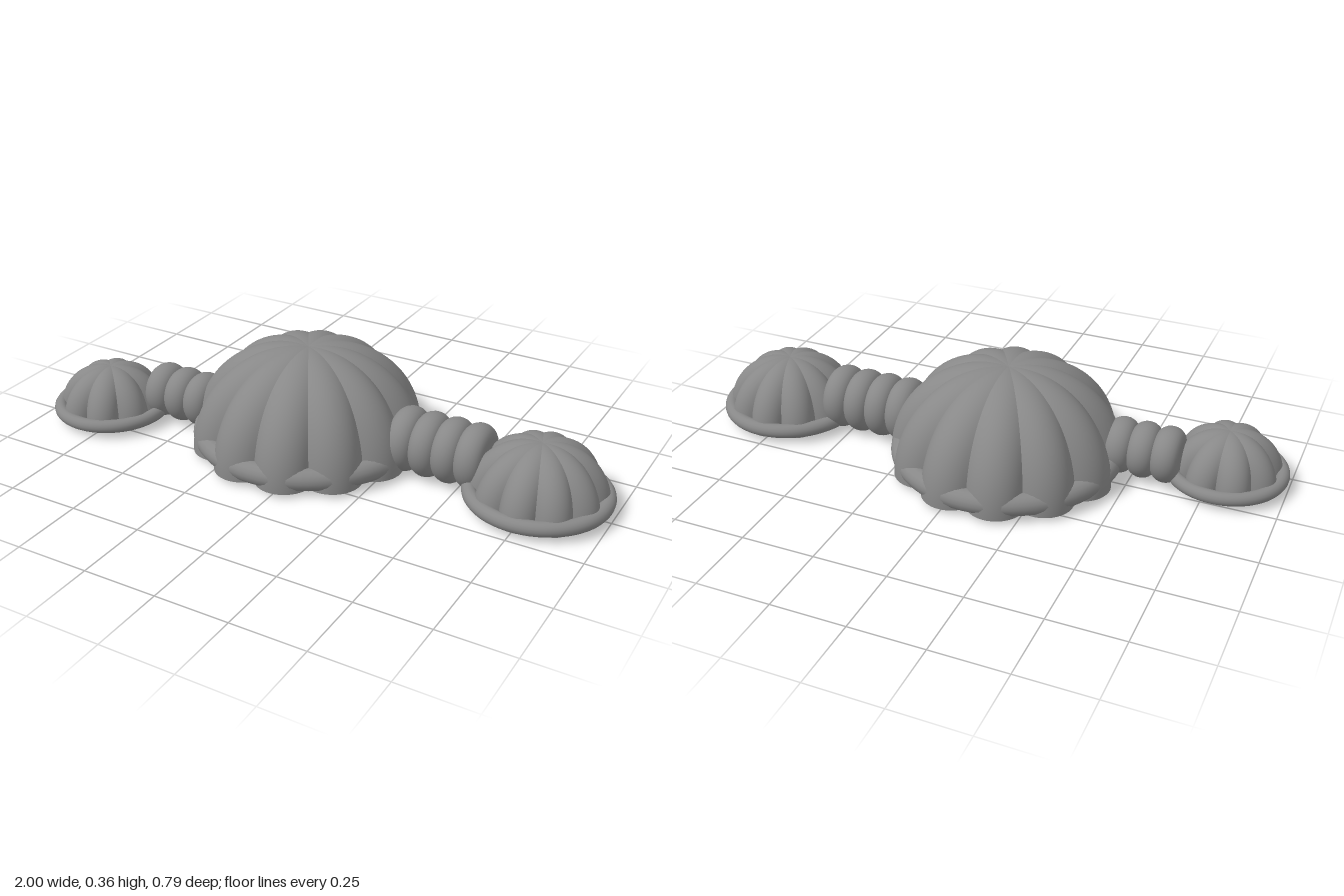
import * as THREE from 'three';

const grey = new THREE.MeshStandardMaterial({ color: 0x888888, side: THREE.DoubleSide });
grey.name = 'grey';

// One bulging rib: a tube section swept up a quarter arc, trimmed where it meets its neighbours
function lobeGeometry({ lobes, inset, path, rise, tube, base }) {
  const tan = Math.tan(Math.PI / lobes), nu = 14, nv = 28;
  const tEnd = Math.acos(-inset / (path + tube));
  const positions = [], index = [];
  for (let j = 0; j <= nv; j++) {
    const t = (tEnd * j) / nv, c = Math.cos(t), s = Math.sin(t);
    const radial = (phi) => inset + (path + tube * Math.cos(phi)) * c;
    let lo = 0, hi = Math.PI / 2;
    for (let k = 0; k < 30; k++) {
      const mid = (lo + hi) / 2;
      if (tube * Math.sin(mid) < radial(mid) * tan) lo = mid; else hi = mid;
    }
    for (let i = 0; i <= nu; i++) {
      const phi = lo * ((2 * i) / nu - 1);
      positions.push(radial(phi), base + (rise + tube * Math.cos(phi)) * s, tube * Math.sin(phi));
      if (i < nu && j < nv) {
        const a = j * (nu + 1) + i, b = a + nu + 1;
        index.push(a, b, a + 1, b, b + 1, a + 1);
      }
    }
  }
  const geometry = new THREE.BufferGeometry();
  geometry.setAttribute('position', new THREE.Float32BufferAttribute(positions, 3));
  geometry.setIndex(index);
  geometry.computeVertexNormals();
  return geometry;
}

// Ribbed hollow dome with a round rim
function dome(name, x, z, spec, rim) {
  const group = new THREE.Group();
  group.name = name;
  group.position.set(x, 0, z);
  const geometry = lobeGeometry(spec);
  for (let i = 0; i < spec.lobes; i++) {
    const lobe = new THREE.Mesh(geometry, grey);
    lobe.name = 'domeRib';
    lobe.rotation.y = ((i + 0.5) * 2 * Math.PI) / spec.lobes;
    group.add(lobe);
  }
  const ring = new THREE.Mesh(new THREE.TorusGeometry(rim.radius, rim.tube, 16, 72), grey);
  ring.name = 'rim';
  ring.rotation.x = Math.PI / 2;
  ring.position.y = rim.y;
  group.add(ring);
  return group;
}

// Row of rounded discs forming a corrugated passage along x
function connector(name, startX, count, y, z, radius) {
  const group = new THREE.Group();
  group.name = name;
  const halfWidth = 0.046, bulge = 0.04, profile = [new THREE.Vector2(0, -halfWidth)];
  for (let i = 0; i <= 14; i++) {
    const a = -Math.PI / 2 + (Math.PI * i) / 14;
    profile.push(new THREE.Vector2(radius - bulge + bulge * Math.cos(a), halfWidth * Math.sin(a)));
  }
  profile.push(new THREE.Vector2(0, halfWidth));
  const geometry = new THREE.LatheGeometry(profile, 40);
  for (let i = 0; i < count; i++) {
    const segment = new THREE.Mesh(geometry, grey);
    segment.name = 'passageSegment';
    segment.rotation.z = Math.PI / 2;
    segment.position.set(startX + i * 0.08, y, z);
    group.add(segment);
  }
  return group;
}

export function createModel() {
  const model = new THREE.Group();
  model.name = 'domeHabitat';
  model.add(
    dome('mainDome', -0.08, 0,
      { lobes: 12, inset: 0.055, path: 0.245, rise: 0.244, tube: 0.1, base: 0.018 },
      { radius: 0.357, tube: 0.038, y: 0.056 }),
    dome('leftDome', 0.757, 0,
      { lobes: 10, inset: 0.03, path: 0.135, rise: 0.142, tube: 0.062, base: 0.02 },
      { radius: 0.218, tube: 0.025, y: 0.045 }),
    dome('rightDome', -0.793, 0.168,
      { lobes: 8, inset: 0.025, path: 0.105, rise: 0.112, tube: 0.058, base: 0.02 },
      { radius: 0.184, tube: 0.023, y: 0.043 }),
    connector('leftPassage', 0.3, 4, 0.113, 0, 0.11),
    connector('rightPassage', -0.615, 3, 0.104, 0.082, 0.095),
  );
  return model;
}
